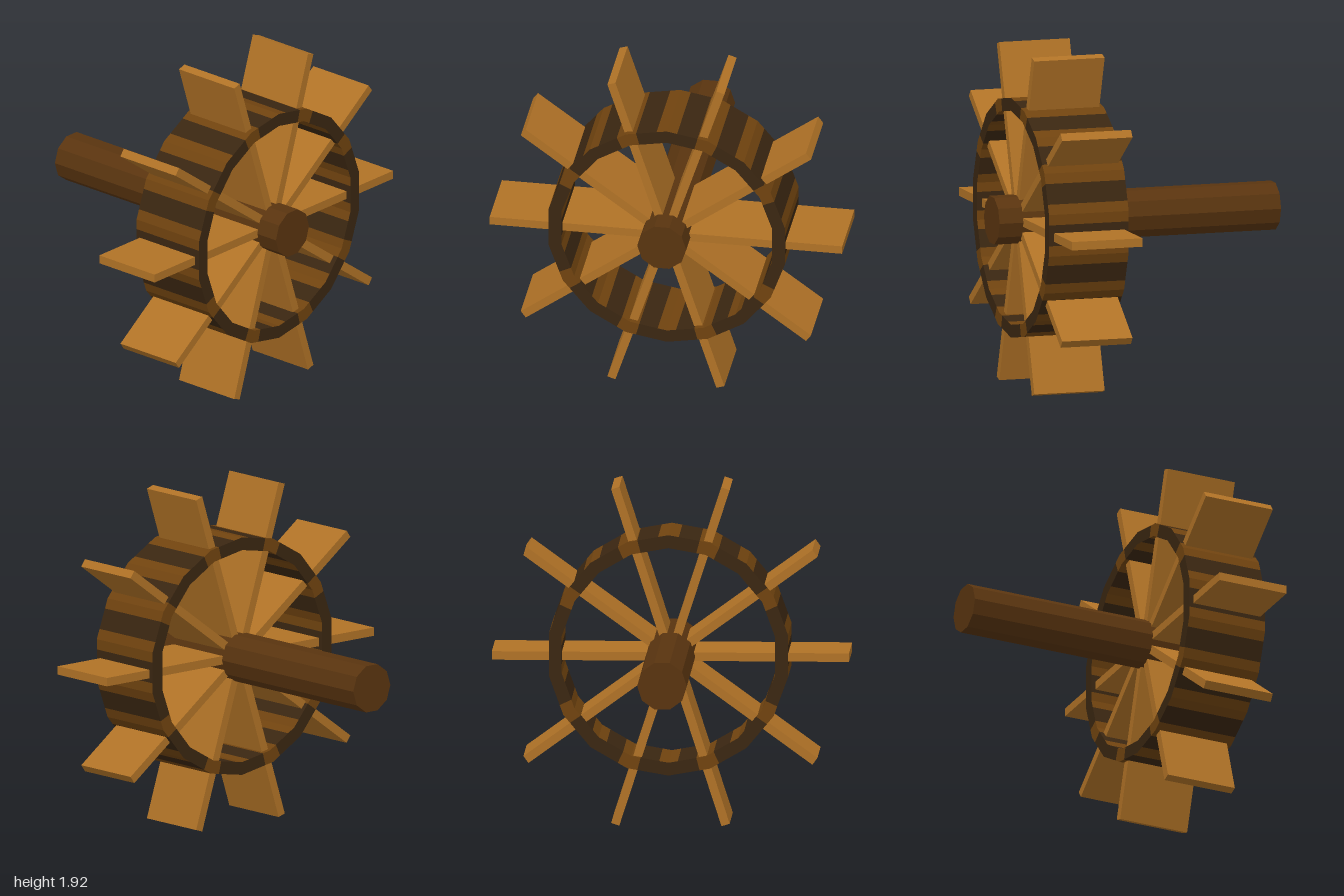
import * as THREE from 'three';

const mat = (name, color) => {
  const m = new THREE.MeshStandardMaterial({ color });
  m.name = name;
  return m;
};

export function createModel() {
  const group = new THREE.Group();
  group.name = 'waterWheel';
  const plank = mat('plankWood', 0xb07226);
  const axleWood = mat('axleWood', 0x59340f);
  const bandBrown = mat('bandBrown', 0x70430f);
  const bandDark = mat('bandDark', 0x3a2611);
  const CY = 0.96;
  const add = (parent, name, geometry, material) => {
    const mesh = new THREE.Mesh(geometry, material);
    mesh.name = name;
    parent.add(mesh);
    return mesh;
  };

  // Ten-sided axle along x
  const axleGeo = new THREE.CylinderGeometry(0.139, 0.139, 1.66, 10).toNonIndexed();
  axleGeo.computeVertexNormals();
  axleGeo.rotateZ(Math.PI / 2);
  add(group, 'axle', axleGeo, axleWood).position.y = CY;

  // Ten radial paddles
  const paddles = new THREE.Group();
  paddles.name = 'paddles';
  paddles.position.set(0.4825, CY, 0);
  group.add(paddles);
  for (let i = 0; i < 10; i++) {
    const geo = new THREE.BoxGeometry(0.415, 0.048, 0.92);
    geo.translate(0, 0, 0.54);
    add(paddles, 'paddle', geo, plank).rotation.x = (i * Math.PI) / 5;
  }

  // Eighteen-sided drum of alternating staves
  const drum = new THREE.Group();
  drum.name = 'drum';
  drum.position.set(0.25, 0.97, -0.01);
  group.add(drum);
  const OUT = 0.68, IN = 0.607, STEP = Math.PI / 9;
  // Point on the polygon outline; t counts corners clockwise from the top
  const at = (t, r) => {
    const corner = (n) => new THREE.Vector2(Math.sin(n * STEP) * r, Math.cos(n * STEP) * r);
    const n = Math.floor(t);
    return corner(n).lerp(corner(n + 1), t - n);
  };
  const stave = (name, ts, materials) => {
    const outer = ts.map((t) => at(t, OUT));
    const inner = ts.map((t) => at(t, IN)).reverse();
    const geo = new THREE.ExtrudeGeometry(new THREE.Shape([...outer, ...inner]),
      { depth: 0.47, bevelEnabled: false });
    geo.rotateY(Math.PI / 2);
    add(drum, name, geo, materials);
  };
  // Staves whose ends are brown too
  const brownEnds = [1, 3, 6, 8, 10, 12, 15, 17];
  for (let k = 0; k < 18; k++) {
    const cap = brownEnds.includes(k) ? bandBrown : bandDark;
    stave('cornerStave', [k - 0.25, k, k + 0.25], [cap, bandBrown]);
    stave('flatStave', [k + 0.25, k + 0.75], [bandDark, bandDark]);
  }
  return group;
}
